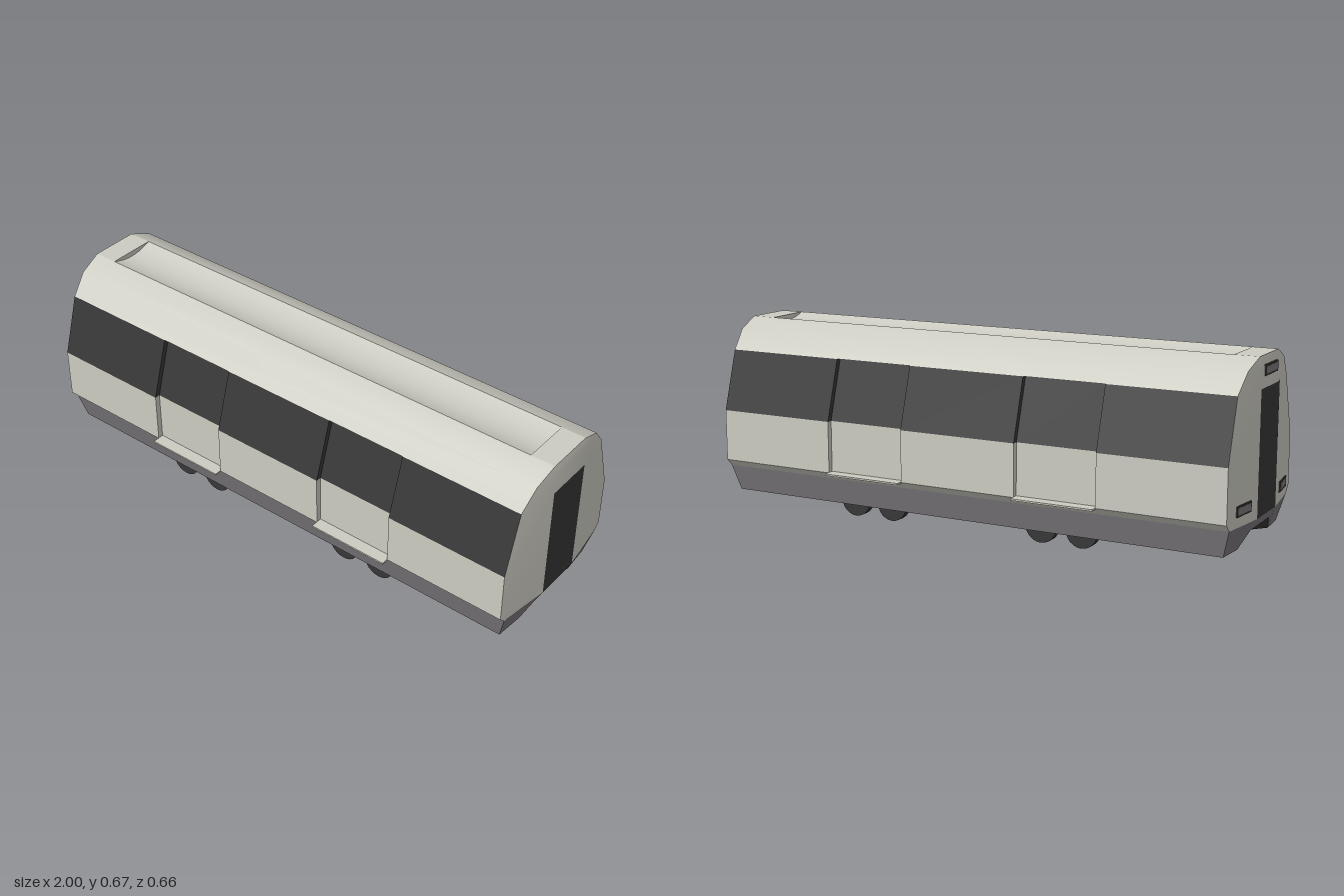
import * as THREE from 'three';
import { mergeVertices } from 'three/addons/utils/BufferGeometryUtils.js';

const mat = (name, color) => {
  const m = new THREE.MeshStandardMaterial({ color });
  m.name = name;
  return m;
};

// Polygons, each a convex fan of counter-clockwise [x, y, z] corners.
function flat(name, material, polygons, smooth = false) {
  const v = [];
  for (const p of polygons)
    for (let i = 1; i < p.length - 1; i++) v.push(...p[0], ...p[i], ...p[i + 1]);
  let g = new THREE.BufferGeometry();
  g.setAttribute('position', new THREE.Float32BufferAttribute(v, 3));
  if (smooth) g = mergeVertices(g);
  g.computeVertexNormals();
  const m = new THREE.Mesh(g, material);
  m.name = name;
  return m;
}

// Smooth lengthwise skin through rows of [half length, y, z].
function skin(name, material, rows) {
  const v = [], idx = [];
  rows.forEach(([x, y, z], i) => {
    v.push(-x, y, z, x, y, z);
    if (i) idx.push(2 * i - 2, 2 * i - 1, 2 * i + 1, 2 * i - 2, 2 * i + 1, 2 * i);
  });
  const g = new THREE.BufferGeometry();
  g.setAttribute('position', new THREE.Float32BufferAttribute(v, 3));
  g.setIndex(idx);
  g.computeVertexNormals();
  const m = new THREE.Mesh(g, material);
  m.name = name;
  return m;
}

function box(name, material, w, h, d, x, y, z, ry = 0) {
  const m = new THREE.Mesh(new THREE.BoxGeometry(w, h, d), material);
  m.name = name;
  m.position.set(x, y, z);
  m.rotation.y = ry;
  return m;
}

// A polygon and its mirror image across z = 0.
const both = (p) => [p, p.map(([x, y, z]) => [x, y, -z]).reverse()];

export function createModel() {
  const model = new THREE.Group();
  model.name = 'railCar';
  const body = mat('bodyGrey', 0xcccbc1);
  const dark = mat('darkGlass', 0x373737);
  const skirt = mat('skirtGrey', 0x7b777c);

  // Side wall facing +z, with two recessed doors and their steps
  function side() {
    const g = new THREE.Group();
    const inset = 0.02;
    const xs = [-0.97, -0.52, -0.22, 0.22, 0.52, 0.97];
    const strip = (y0, z0, y1, z1) => {
      const out = [];
      for (let i = 0; i < 5; i++) {
        const a = xs[i], b = xs[i + 1], d = i % 2 ? inset : 0;
        out.push([[a, y0, z0 - d], [b, y0, z0 - d], [b, y1, z1 - d], [a, y1, z1 - d]]);
        if (!d) continue;
        out.push([[a, y0, z0], [a, y0, z0 - d], [a, y1, z1 - d], [a, y1, z1]]);
        out.push([[b, y1, z1], [b, y1, z1 - d], [b, y0, z0 - d], [b, y0, z0]]);
      }
      return out;
    };
    const lintels = [[-0.52, -0.22], [0.22, 0.52]].map(([a, b]) =>
      [[a, 0.56, 0.237 - inset], [b, 0.56, 0.237 - inset], [b, 0.56, 0.237], [a, 0.56, 0.237]]);
    g.add(
      flat('sideSkirt', skirt, [[[-0.945, 0.042, 0.257], [0.945, 0.042, 0.257], [0.97, 0.135, 0.278], [-0.97, 0.135, 0.278]]]),
      flat('sideSill', body, [[[-0.97, 0.135, 0.278], [0.97, 0.135, 0.278], [0.97, 0.16, 0.303], [-0.97, 0.16, 0.303]]]),
      flat('lowerWallAndDoors', body, strip(0.16, 0.303, 0.345, 0.303)),
      flat('windowBand', dark, strip(0.345, 0.303, 0.56, 0.237)),
      flat('doorLintels', body, lintels),
      skin('roofSide', body, [[0.97, 0.56, 0.237], [0.98, 0.63, 0.175], [0.988, 0.665, 0.09]]),
    );
    for (const x of [-0.37, 0.37])
      g.add(box('doorStep', body, 0.3, 0.006, 0.05, x, 0.159, 0.303));
    return g;
  }

  // End wall facing +x, with a gangway door and a coupler recess
  function end() {
    const g = new THREE.Group();
    // rows: y, outer x, outer z, inner x
    const rows = [
      [0.135, 0.97, 0.278, 0.996], [0.16, 0.97, 0.303, 0.996], [0.345, 0.97, 0.303, 0.996],
      [0.56, 0.97, 0.237, 0.996], [0.63, 0.98, 0.175, 0.994], [0.665, 0.988, 0.09, 0.988],
    ];
    const w = 0.09, wall = [], b = 0.135, t = 0.56, f = 0.996;
    for (let i = 0; i < 5; i++) {
      const [y0, x0, z0, c0] = rows[i], [y1, x1, z1, c1] = rows[i + 1];
      wall.push(...both([[x0, y0, z0], [c0, y0, w], [c1, y1, w], [x1, y1, z1]]));
      if (i > 2) wall.push([[c0, y0, w], [c0, y0, -w], [c1, y1, -w], [c1, y1, w]]);
    }
    g.add(
      flat('endWall', body, wall, true),
      flat('endDoor', dark, [[[f, b, w], [f, b, -w], [f, t, -w], [f, t, w]]]),
      flat('endSkirt', skirt, [
        ...both([[0.97, b, 0.278], [0.945, 0.042, 0.257], [0.953, 0.042, 0.15], [0.975, 0.095, w], [f, b, w]]),
        [[0.975, 0.095, w], [0.975, 0.095, -w], [f, b, -w], [f, b, w]],
      ], true),
      flat('couplerRecess', dark, [
        [[0.9, 0.042, w], [0.9, 0.042, -w], [0.975, 0.095, -w], [0.975, 0.095, w]],
        ...both([[0.953, 0.042, 0.15], [0.9, 0.042, w], [0.975, 0.095, w]]),
      ]),
    );
    return g;
  }

  ['front', 'back'].forEach((n, i) => {
    const s = side();
    s.name = n + 'Side';
    s.rotation.y = i * Math.PI;
    model.add(s);
  });
  const ends = ['left', 'right'].map((n, i) => {
    const e = end();
    e.name = n + 'End';
    e.rotation.y = i * Math.PI;
    model.add(e);
    return e;
  });

  // Lamps on one end only
  const lamp = (x, y, z, width, ry) => ends[1].add(
    box('lampFrame', dark, 0.008, 0.036, width, x, y, z, ry),
    box('lampLens', skirt, 0.009, 0.024, width - 0.012, x + 0.0005, y, z, ry));
  lamp(0.995, 0.617, 0, 0.12, 0);
  for (const s of [-1, 1]) lamp(0.984, 0.19, s * 0.19, 0.1, -s * 0.12);

  // Roof top with a shallow curved trough
  const trough = [];
  for (let i = 0; i <= 10; i++) {
    const u = 1 - i / 5;
    trough.push([0.9, 0.645 + 0.02 * u * u, 0.09 * u]);
  }
  model.add(skin('roofTrough', body, trough));
  const roofEnds = [];
  for (const s of [1, -1]) {
    const cap = [[s * 0.9, 0.665, 0.09], [s * 0.988, 0.665, 0.09], [s * 0.988, 0.665, -0.09], [s * 0.9, 0.665, -0.09]];
    const wall = trough.map(([x, y, z]) => [s * x, y, z]);
    roofEnds.push(s > 0 ? cap : cap.reverse(), s > 0 ? wall.reverse() : wall);
  }
  model.add(flat('roofEnds', body, roofEnds));

  // Underside
  const y = 0.042;
  model.add(flat('underside', skirt, [
    [[-0.9, y, -0.09], [0.9, y, -0.09], [0.9, y, 0.09], [-0.9, y, 0.09]],
    ...both([[-0.9, y, 0.09], [0.9, y, 0.09], [0.953, y, 0.15], [0.945, y, 0.257], [-0.945, y, 0.257], [-0.953, y, 0.15]]),
  ]));

  // Wheels
  const wheelGeo = new THREE.CylinderGeometry(0.058, 0.058, 0.03, 24).rotateX(Math.PI / 2);
  for (const x of [-0.445, -0.294, 0.294, 0.445])
    for (const z of [-0.232, 0.232]) {
      const wheel = new THREE.Mesh(wheelGeo, dark);
      wheel.name = 'wheel';
      wheel.position.set(x, 0.058, z);
      model.add(wheel);
    }
  return model;
}
